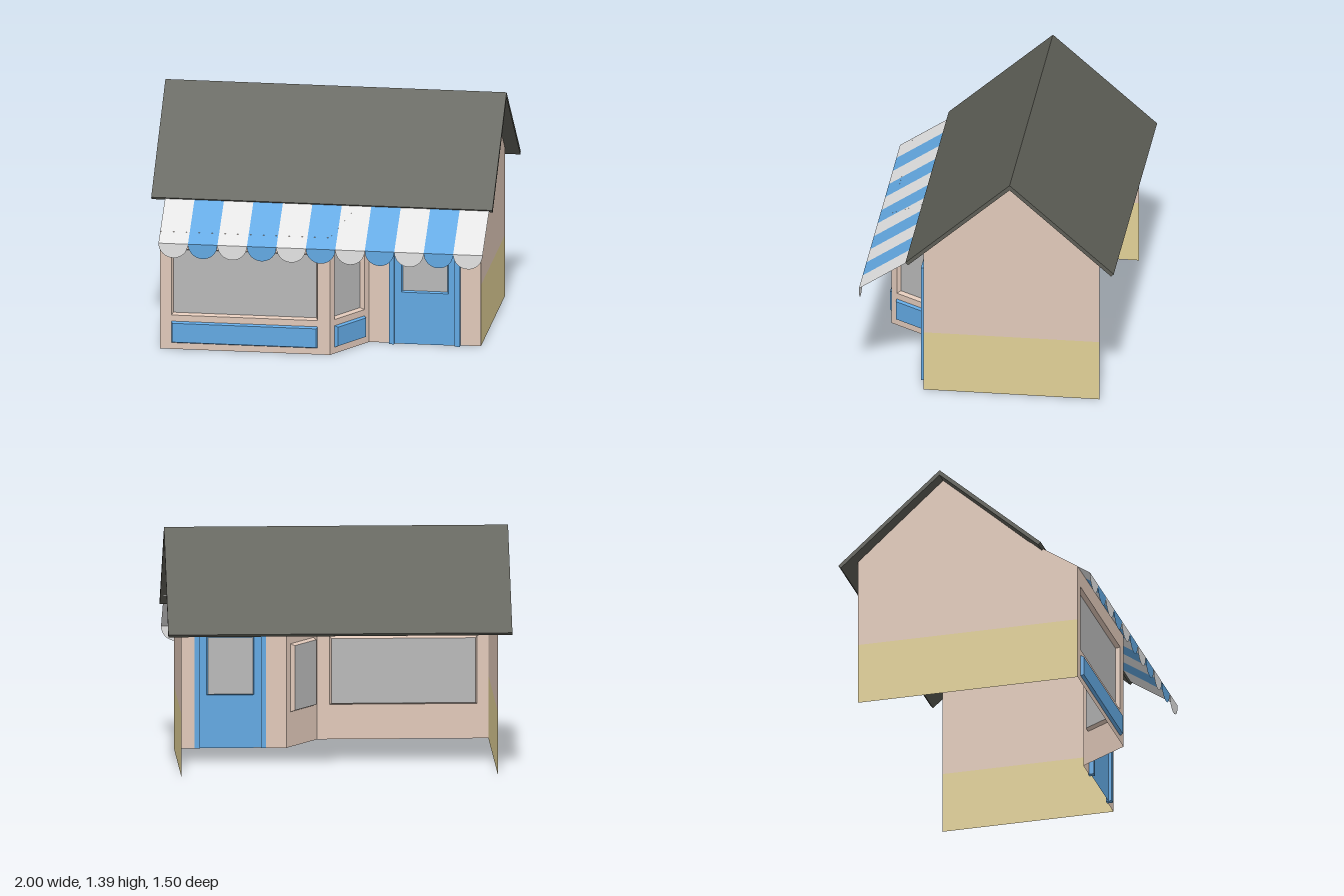
import * as THREE from 'three';

const material = (name, color) => {
  const m = new THREE.MeshStandardMaterial({ color, side: THREE.DoubleSide });
  m.name = name;
  return m;
};

export function createModel() {
  const plaster = material('beige plaster', 0xe0c8b9);
  const ochre = material('ochre base', 0xe0cf96);
  const slate = material('dark slate', 0x5c5d55);
  const blue = material('blue paint', 0x62a8e2);
  const white = material('white cloth', 0xe2e2e2);
  const glass = material('grey glass', 0xb8b8b8);

  const model = new THREE.Group();
  model.name = 'shop';

  const add = (parent, name, geometry, mat) => {
    const mesh = new THREE.Mesh(geometry, mat);
    mesh.name = name;
    parent.add(mesh);
    return mesh;
  };
  const group = (name, parent = model) => {
    const g = new THREE.Group();
    g.name = name;
    parent.add(g);
    return g;
  };
  const outline = (points) => points.map(([x, y]) => new THREE.Vector2(x, y));
  // Flat sheet with rectangular openings [x0, y0, x1, y1]
  const sheet = (points, openings = []) => {
    const shape = new THREE.Shape(outline(points));
    for (const [a, b, c, d] of openings) {
      shape.holes.push(new THREE.Path(outline([[a, b], [a, d], [c, d], [c, b]])));
    }
    return new THREE.ShapeGeometry(shape);
  };
  // Bevelled tray: raised panel (depth > 0) or recessed window (depth < 0)
  const tray = (parent, name, [a, b, c, d], depth, bevel, rimMat, capMat) => {
    const g = group(name, parent);
    const outer = [[a, b], [c, b], [c, d], [a, d]];
    const inner = [[a + bevel, b + bevel], [c - bevel, b + bevel], [c - bevel, d - bevel], [a + bevel, d - bevel]];
    const pos = [];
    for (let i = 0; i < 4; i++) {
      const j = (i + 1) % 4;
      const [p, q, r, s] = [[...outer[i], 0], [...outer[j], 0], [...inner[j], depth], [...inner[i], depth]];
      pos.push(...p, ...q, ...r, ...p, ...r, ...s);
    }
    const rim = new THREE.BufferGeometry();
    rim.setAttribute('position', new THREE.Float32BufferAttribute(pos, 3));
    rim.computeVertexNormals();
    add(g, name + 'Rim', rim, rimMat);
    add(g, name + 'Face', sheet(inner), capMat).position.z = depth;
  };

  // Side walls with an ochre lower band
  const ridgeZ = -0.14, backZ = -0.655, wallZ = 0.375, bayZ = 0.67, bandY = 0.37;
  const sides = [
    ['leftWall', 0.92, wallZ, [[wallZ, bandY], [wallZ, 0.905]]],
    ['rightWall', -0.92, bayZ, [[bayZ, bandY], [bayZ, 0.71], [wallZ, 0.905]]],
  ];
  for (const [name, x, frontZ, frontEdge] of sides) {
    const wall = group(name);
    wall.position.x = x;
    wall.rotation.y = -Math.PI / 2;
    add(wall, name + 'Base', sheet([[backZ, 0], [frontZ, 0], [frontZ, bandY], [backZ, bandY]]), ochre);
    add(wall, name + 'Gable', sheet([[backZ, bandY], ...frontEdge, [ridgeZ, 1.36], [backZ, 0.9]]), plaster);
  }

  // Bent roof slab
  const roof = add(model, 'roof', new THREE.ExtrudeGeometry(new THREE.Shape(outline([
    [-0.75, 0.854], [-0.735, 0.838], [ridgeZ, 1.36], [0.455, 0.838], [0.47, 0.854], [ridgeZ, 1.39],
  ])), { depth: 2, bevelEnabled: false }), slate);
  roof.rotation.y = -Math.PI / 2;
  roof.position.x = 1;

  // Projecting display bay: straight front and angled return
  const bayWall = (name, x, z, angle, points, window, panel) => {
    const g = group(name);
    g.position.set(x, 0, z);
    g.rotation.y = angle;
    add(g, name + 'Wall', sheet(points, [window]), plaster);
    tray(g, name + 'Window', window, -0.025, 0.01, plaster, glass);
    tray(g, name + 'Panel', panel, 0.018, 0.008, blue, blue);
  };
  bayWall('bayFront', 0, bayZ, 0,
    [[-0.92, 0], [0.075, 0], [0.075, 0.71], [-0.92, 0.71]],
    [-0.855, 0.205, 0.003, 0.606], [-0.855, 0.038, 0.003, 0.168]);
  const returnLength = Math.hypot(0.19, 0.295);
  bayWall('bayReturn', 0.075, bayZ, Math.atan2(0.295, 0.19),
    [[0, 0], [returnLength, 0], [returnLength, 0.905], [0, 0.71]],
    [0.042, 0.205, 0.309, 0.606], [0.042, 0.038, 0.309, 0.168]);

  // Wall around the doorway
  add(model, 'doorWall', sheet([
    [0.265, 0], [0.385, 0], [0.385, 0.725], [0.8, 0.725], [0.8, 0], [0.92, 0], [0.92, 0.905], [0.265, 0.905],
  ]), plaster).position.z = wallZ;

  // Door with posts, header and window
  const door = group('door');
  for (const x of [0.4, 0.785]) {
    add(door, 'doorPost', new THREE.BoxGeometry(0.03, 0.725, 0.035), blue).position.set(x, 0.3625, 0.3875);
  }
  add(door, 'doorHeader', new THREE.BoxGeometry(0.355, 0.03, 0.035), blue).position.set(0.5925, 0.71, 0.3875);
  const leaf = group('doorLeaf', door);
  leaf.position.z = 0.385;
  const pane = [0.455, 0.312, 0.73, 0.66];
  add(leaf, 'doorPanel', sheet([[0.415, 0], [0.77, 0], [0.77, 0.695], [0.415, 0.695]], [pane]), blue);
  tray(leaf, 'doorWindow', pane, -0.015, 0.007, blue, glass);

  // Striped awning with scalloped edge
  const awning = group('awning');
  const count = 11, left = -0.92, stripe = 1.9 / count;
  const rise = 0.245, run = 0.37;
  for (let i = 0; i < count; i++) {
    const mat = i % 2 ? blue : white;
    const x = left + (i + 0.5) * stripe;
    const cloth = add(awning, 'awningStripe', new THREE.PlaneGeometry(stripe, Math.hypot(rise, run)), mat);
    cloth.position.set(x, 0.66 + rise / 2, 0.745 - run / 2);
    cloth.rotation.x = Math.atan2(-run, rise);
    const flap = add(awning, 'awningScallop', new THREE.CircleGeometry(stripe / 2, 16, Math.PI, Math.PI), mat);
    flap.position.set(x, 0.66, 0.745);
  }
  return model;
}
